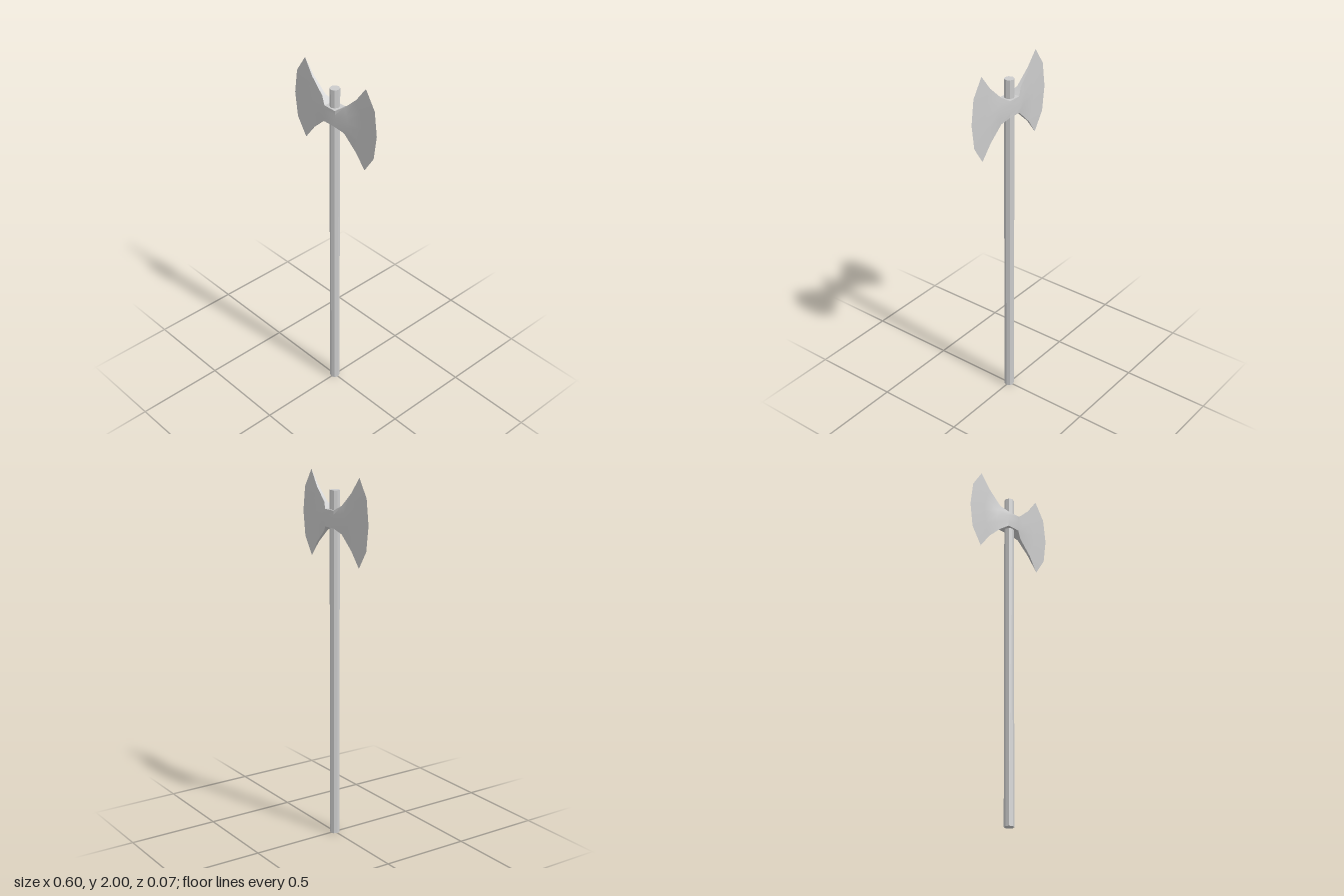
import * as THREE from 'three';
import { toCreasedNormals } from 'three/addons/utils/BufferGeometryUtils.js';

const CENTRE_Y = 1.768;

// Stations from hub to cutting edge; x and height run over the five rows, bottom to top
const STATIONS = [
  { x: [0.038, 0.038, 0.038], y: [0, 0.023, 0.046], z: 0.035 },
  { x: [0.105, 0.1, 0.08], y: [0, 0.037, 0.074], z: 0.011 },
  { x: [0.2, 0.19, 0.16], y: [0, 0.08, 0.15], z: 0.006 },
  { x: [0.3, 0.282, 0.219], y: [0, 0.135, 0.232], z: 0 },
];

// Closed cross-section: up the front face, then down the back face
function ring(station, side) {
  const rows = [-2, -1, 0, 1, 2];
  const point = (r, z) => [
    side * station.x[Math.abs(r)],
    CENTRE_Y + Math.sign(r) * station.y[Math.abs(r)],
    z,
  ];
  return [
    ...rows.map((r) => point(r, station.z)),
    ...rows.reverse().map((r) => point(r, -station.z)),
  ];
}

function doubleBlade() {
  const rings = [
    ...[...STATIONS].reverse().map((s) => ring(s, -1)),
    ...STATIONS.map((s) => ring(s, 1)),
  ];
  const n = rings[0].length;
  const index = [];
  for (let k = 0; k < rings.length - 1; k++) {
    for (let i = 0; i < n; i++) {
      const j = (i + 1) % n;
      const a = k * n + i, b = (k + 1) * n + i;
      const c = (k + 1) * n + j, d = k * n + j;
      index.push(a, b, c, a, c, d);
    }
  }
  const geometry = new THREE.BufferGeometry();
  geometry.setAttribute('position', new THREE.Float32BufferAttribute(rings.flat(2), 3));
  geometry.setIndex(index);
  return toCreasedNormals(geometry, 0.5);
}

export function createModel() {
  const model = new THREE.Group();
  model.name = 'doubleAxe';
  const steel = new THREE.MeshStandardMaterial({ color: 0xcccccc });
  steel.name = 'paleGrey';

  // Straight eight-sided shaft
  const shaftGeometry = toCreasedNormals(new THREE.CylinderGeometry(0.027, 0.027, 1.915, 8), 0.5);
  const shaft = new THREE.Mesh(shaftGeometry, steel);
  shaft.name = 'shaft';
  shaft.position.y = 1.915 / 2;
  model.add(shaft);

  // Hub and both flared blades in one piece
  const head = new THREE.Mesh(doubleBlade(), steel);
  head.name = 'axeHead';
  model.add(head);

  return model;
}
